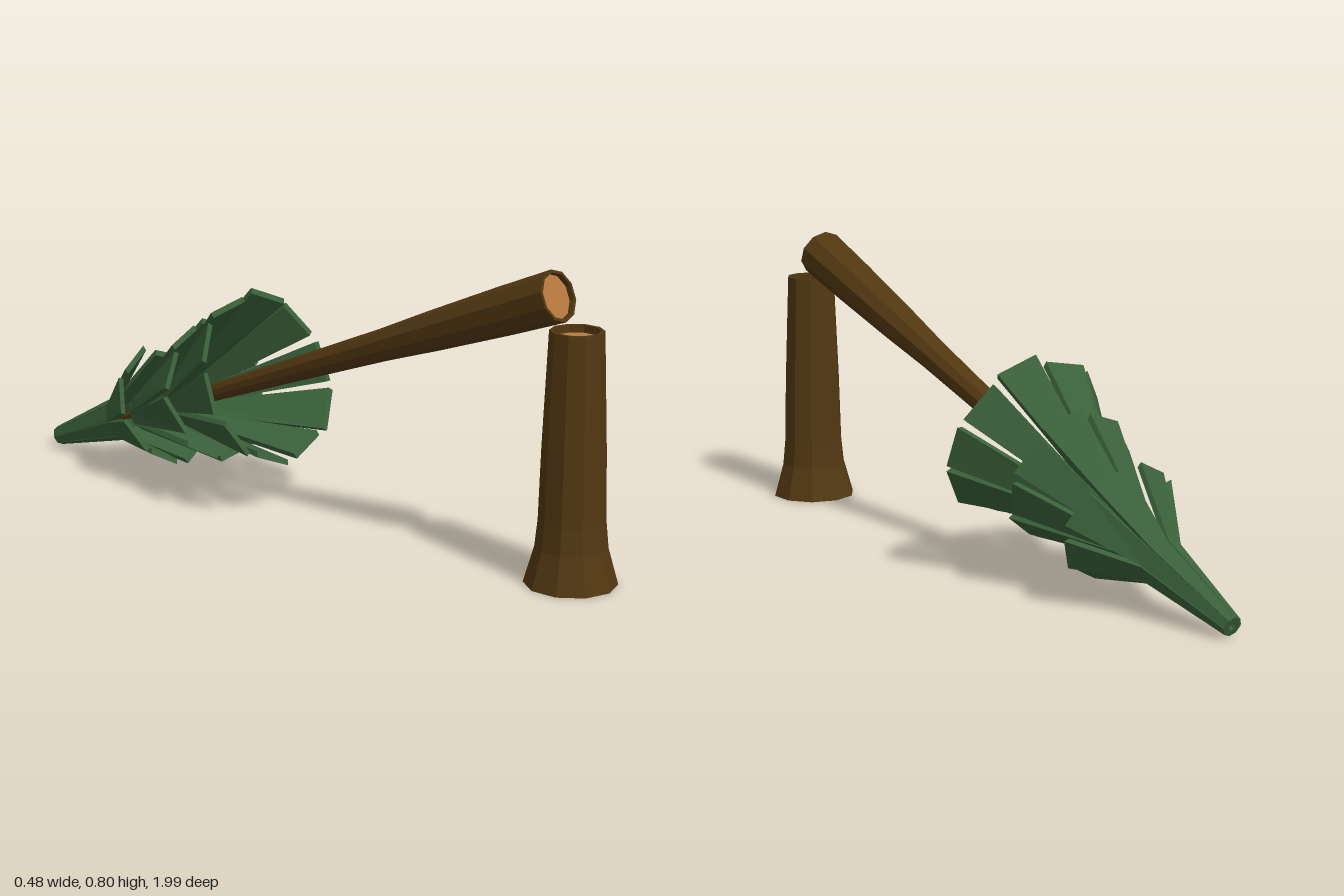
import * as THREE from 'three';

const SIDES = 10;
const bark = new THREE.MeshStandardMaterial({ color: 0x523812 });
const cutWood = new THREE.MeshStandardMaterial({ color: 0xb8783f });
const needles = new THREE.MeshStandardMaterial({ color: 0x3a613a });
bark.name = 'bark brown';
cutWood.name = 'cut wood';
needles.name = 'needle green';

// Faceted mesh: unshared vertices give flat normals
function faceted(name, geometry, material) {
  const g = geometry.toNonIndexed();
  g.computeVertexNormals();
  const mesh = new THREE.Mesh(g, material);
  mesh.name = name;
  return mesh;
}

// Turned ten-sided part from [radius, height] pairs, listed bottom to top
function turned(name, profile, material) {
  const points = profile.map(([r, y]) => new THREE.Vector2(r, y));
  return faceted(name, new THREE.LatheGeometry(points, SIDES), material);
}

function seeded(seed) {
  return () => {
    seed = (seed * 16807) % 2147483647;
    return (seed / 2147483647) * 2 - 1;
  };
}

// One bough: a box whose rows follow [height, radius, width] sections
function bough(sections, thickness, angle, twist) {
  const rows = sections.length - 1;
  const g = new THREE.BoxGeometry(1, 1, 1, 1, rows, 1);
  const p = g.attributes.position;
  for (let i = 0; i < p.count; i++) {
    const row = Math.round((p.getY(i) + 0.5) * rows);
    const [t, r, w] = sections[row];
    const x = p.getX(i) * w;
    const lean = row === 0 ? x * twist : 0;
    p.setXYZ(i, x, t + lean * 0.5, r + lean + (p.getZ(i) - 0.5) * thickness);
  }
  g.rotateY(angle);
  return faceted('bough', g, needles);
}

// Ring of boughs around the trunk
function tier(name, count, phase, sections, fill, seed) {
  const group = new THREE.Group();
  group.name = name;
  const rand = seeded(seed);
  for (let i = 0; i < count; i++) {
    const shape = sections.map(([t, r], row) => {
      const chord = 2 * r * Math.sin(Math.PI / count);
      if (row > 0) return [t, r, chord];
      return [t + rand() * 0.012, r + rand() * 0.01, chord * (fill + rand() * 0.05)];
    });
    const angle = ((i + phase) / count) * Math.PI * 2;
    group.add(bough(shape, 0.016, angle, rand() * 0.15));
  }
  return group;
}

export function createModel() {
  const model = new THREE.Group();
  model.name = 'brokenPine';

  // Standing stump with a recessed cut face
  const stump = new THREE.Group();
  stump.name = 'stump';
  stump.position.set(-0.01, 0, 0.88);
  stump.add(
    turned('stumpBark', [
      [0, 0.004], [0.12, 0.004], [0.093, 0.1], [0.086, 0.17], [0.081, 0.36],
      [0.069, 0.66], [0.06, 0.66], [0.06, 0.635],
    ], bark),
    turned('stumpCutFace', [[0.062, 0.64], [0, 0.64]], cutWood),
  );
  model.add(stump);

  // Fallen part: local y runs along the trunk from the break to the tip
  const fallen = new THREE.Group();
  fallen.name = 'fallenTree';
  fallen.position.set(-0.008, 0.737, 0.82);
  fallen.rotation.x = -(Math.PI - Math.acos(0.363));
  fallen.add(
    turned('trunkCutFace', [[0, 0.015], [0.062, 0.015]], cutWood),
    turned('trunkBark', [
      [0.06, 0.02], [0.06, 0], [0.068, 0], [0.063, 0.18], [0.053, 0.42],
      [0.043, 0.6], [0.031, 1.0], [0.024, 1.3], [0.004, 1.7],
    ], bark),
    tier('lowerBoughs', 10, 0.5, [[1.035, 0.235], [1.42, 0.048]], 0.82, 11),
    tier('middleBoughs', 9, 0.5, [[1.247, 0.19], [1.56, 0.05]], 0.86, 29),
    tier('topBoughs', 8, 0.5, [[1.463, 0.16], [1.65, 0.062], [1.935, 0.026]], 0.86, 47),
  );
  model.add(fallen);

  return model;
}
